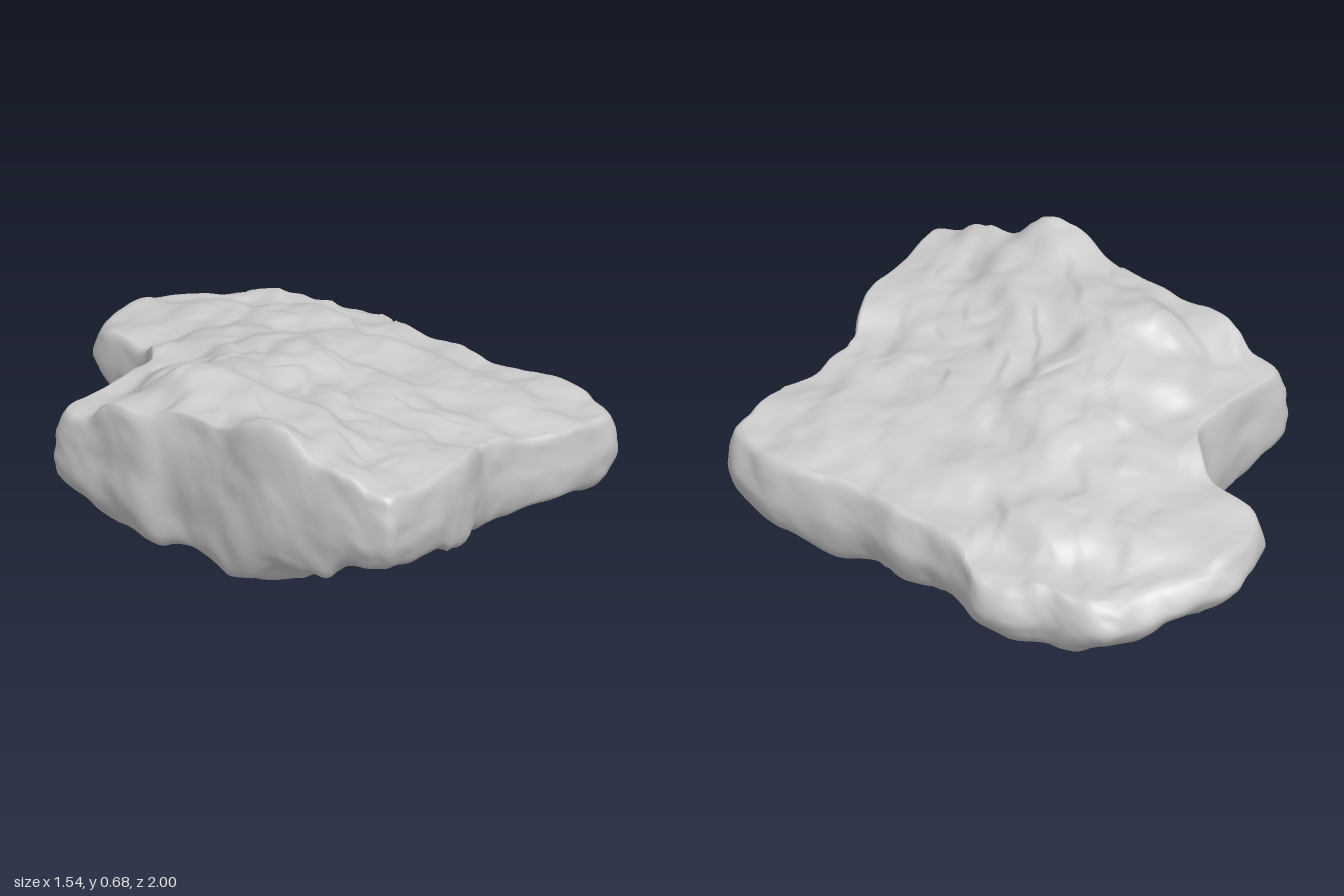
import * as THREE from 'three';

const { lerp, smoothstep } = THREE.MathUtils;

// Plan outline of the slab [x, z], counter-clockwise from the front corner
const OUTLINE = [
  [-.545, .985], [-.5, .985], [-.3, .955], [-.1, .91], [.08, .815], [.16, .8], [.3, .81], [.42, .84], [.58, .835], [.68, .82],
  [.74, .7], [.765, .56], [.72, .38], [.69, .2], [.705, .05], [.685, -.1], [.71, -.25], [.765, -.38], [.74, -.5],
  [.665, -.62], [.66, -.7], [.61, -.82], [.48, -.88], [.35, -.94], [.22, -.985], [.12, -.985], [0, -.95],
  [-.12, -.87], [-.14, -.72], [-.16, -.62], [-.22, -.52], [-.28, -.46], [-.4, -.44], [-.56, -.41],
  [-.74, -.41], [-.765, -.37], [-.755, -.2], [-.755, 0], [-.71, .1], [-.7, .3], [-.69, .5], [-.65, .65], [-.6, .85],
];

// Height samples [x, z, y] of the upper face
const TOP = [
  [-.53, .97, .51], [-.3, .93, .49], [-.1, .88, .5], [.1, .78, .44], [.35, .78, .4], [.68, .78, .37],
  [-.59, .75, .57], [-.64, .55, .68], [-.4, .4, .6], [-.48, .57, .59], [-.38, .74, .51], [-.18, .5, .51],
  [0, .5, .48], [.35, .5, .43], [.7, .5, .38],
  [-.67, .2, .59], [-.45, .2, .62], [-.2, .2, .54], [.05, .2, .49], [.35, .2, .43], [.68, .2, .37],
  [-.7, -.05, .55], [-.47, 0, .64], [-.3, 0, .6], [-.15, 0, .56], [0, 0, .54], [.3, 0, .44], [.66, -.1, .35],
  [-.4, -.2, .53], [-.05, -.18, .51],
  [-.73, -.37, .44], [-.5, -.36, .45], [-.25, -.4, .45], [0, -.38, .46], [.35, -.4, .42], [.72, -.4, .31],
  [-.1, -.7, .38], [.2, -.65, .4], [.6, -.7, .32], [.12, -.85, .37], [0, -.93, .35], [.3, -.93, .33], [.55, -.85, .31],
];

// Height samples [x, z, y] of the underside
const BOTTOM = [
  [-.53, .95, .23], [-.3, .92, .21], [-.1, .86, .16], [.1, .77, .13], [.4, .78, .14], [.66, .76, .11],
  [-.66, .6, .15], [-.5, .42, .04], [-.2, .5, .08], [.2, .5, .06], [.6, .45, .03], [.7, .5, .09],
  [-.7, .1, .08], [-.5, .1, .05], [0, .1, .05], [.4, .1, .05], [.66, .1, .09],
  [-.74, -.15, .09], [-.73, -.37, .15], [-.5, -.32, .1], [-.28, -.42, .13], [0, -.22, .015], [.35, -.25, .04], [.7, -.3, .1],
  [-.12, -.65, .14], [.2, -.6, .06], [.6, -.6, .08], [0, -.9, .18], [.3, -.92, .17], [.55, -.83, .13],
];

// Smooth inverse-distance blend of the height samples
function height(samples, x, z) {
  let sum = 0, total = 0;
  for (const [sx, sz, sy] of samples) {
    const w = 1 / ((x - sx) ** 2 + (z - sz) ** 2 + .014) ** 3;
    sum += w * sy;
    total += w;
  }
  return sum / total;
}

// Seeded lattice noise in -1..1
function hash(x, y, z) {
  const s = Math.sin(x * 127.1 + y * 311.7 + z * 74.7) * 43758.5453;
  return (s - Math.floor(s)) * 2 - 1;
}
function noise(x, y, z) {
  const c = [x, y, z].map(Math.floor);
  const f = [x, y, z].map((v, i) => { const t = v - c[i]; return t * t * (3 - 2 * t); });
  let sum = 0;
  for (let k = 0; k < 8; k++) {
    const b = [k & 1, (k >> 1) & 1, k >> 2];
    const w = b.reduce((p, bit, i) => p * (bit ? f[i] : 1 - f[i]), 1);
    sum += w * hash(c[0] + b[0], c[1] + b[1], c[2] + b[2]);
  }
  return sum;
}
const rough = (x, y, z) => noise(x, y, z) + .5 * noise(x * 2.1, y * 2.1, z * 2.1) + .25 * noise(x * 4.3, y * 4.3, z * 4.3);

// Low broken ledges of the rock layers, fading in and out
function ledges(x, z) {
  const t = (z * .5 + x * .75 + .3 * rough(x * 2.2, 3, z * 2.8)) * 5;
  const f = t - Math.floor(t);
  const patch = smoothstep(noise(x * 3, 5, z * 3), -.3, .5);
  return (f - smoothstep(f, .75, 1) - .39) * .014 * patch;
}

// Section from top centre, over the rim, to the bottom centre: [reach, height share]
function section() {
  const rows = [];
  for (let i = 0; i < 56; i++) rows.push([.96 * i / 56, 1]);
  const rim = new THREE.SplineCurve([
    [.96, 1], [.98, .94], [.992, .8], [1, .6], [1, .42], [.985, .22], [.96, .07], [.925, 0],
  ].map(p => new THREE.Vector2(...p)));
  for (let i = 0; i <= 18; i++) rows.push(rim.getPoint(i / 18).toArray());
  for (let i = 1; i <= 40; i++) rows.push([.925 * (1 - i / 40), 0]);
  return rows;
}

function slabGeometry() {
  const N = 280, cx = .1, cz = .1;
  const edge = new THREE.CatmullRomCurve3(
    OUTLINE.map(([x, z]) => new THREE.Vector3(x, 0, z)), true).getSpacedPoints(N).slice(0, N);
  const rows = section();
  const positions = [], index = [];
  rows.forEach(([reach, h], i) => {
    edge.forEach((p, j) => {
      // Rim is rounder at the back and on the left side, squarer elsewhere
      const soft = Math.max(smoothstep(-p.z, .5, .85), smoothstep(p.x, .5, .7));
      const s = reach - (soft - .35) * (1 - reach) * reach ** 8;
      let x = cx + (p.x - cx) * s, z = cz + (p.z - cz) * s;
      const top = height(TOP, x, z) + .011 * rough(x * 5, 1, z * 6) + ledges(x, z);
      const low = height(BOTTOM, x, z) + .012 * rough(x * 5, 9, z * 6) - ledges(x + .3, z);
      const y = lerp(low, top, h);
      // Chipped sides
      const chip = smoothstep(s, .8, 1) * .012 * rough(x * 7, y * 9, z * 7);
      x += (p.x - cx) * chip;
      z += (p.z - cz) * chip;
      positions.push(x, y, z);
      if (i < rows.length - 1) {
        const k = (j + 1) % N;
        const a = i * N + j, b = a + N, c = (i + 1) * N + k, d = i * N + k;
        index.push(a, b, c);
        if (i > 0) index.push(a, c, d);
      }
    });
  });
  const geometry = new THREE.BufferGeometry();
  geometry.setAttribute('position', new THREE.Float32BufferAttribute(positions, 3));
  geometry.setIndex(index);
  // Rest on the ground, centred
  geometry.computeBoundingBox();
  const { min, max } = geometry.boundingBox;
  geometry.translate(-(min.x + max.x) / 2, -min.y, -(min.z + max.z) / 2);
  geometry.computeVertexNormals();
  return geometry;
}

export function createModel() {
  const model = new THREE.Group();
  model.name = 'rock';
  const slab = new THREE.Mesh(slabGeometry(), new THREE.MeshStandardMaterial({ color: 0xcccccc }));
  slab.name = 'rockSlab';
  model.add(slab);
  return model;
}
